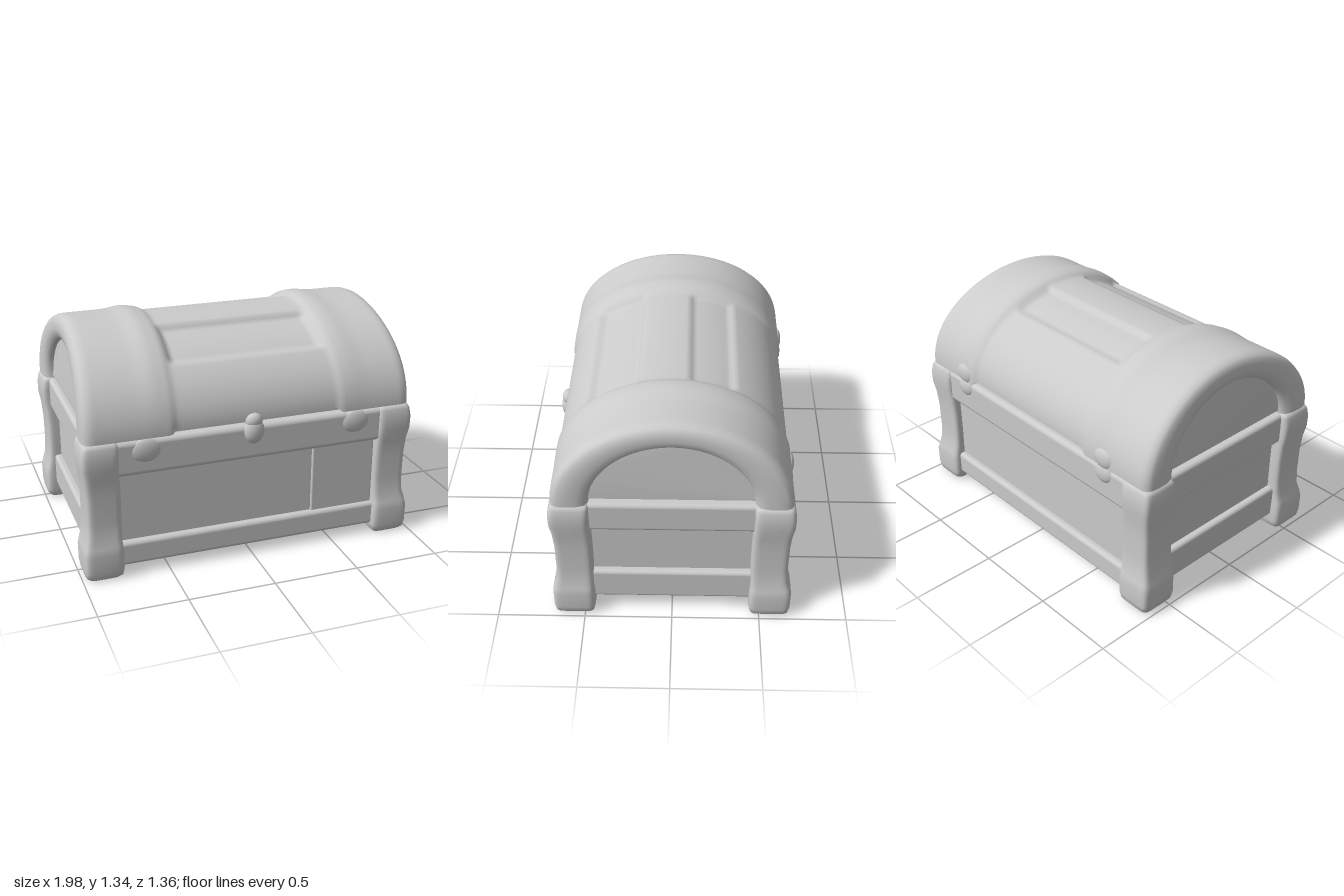
import * as THREE from 'three';
import { mergeVertices } from 'three/addons/utils/BufferGeometryUtils.js';
import { RoundedBoxGeometry } from 'three/addons/geometries/RoundedBoxGeometry.js';

const mat = new THREE.MeshStandardMaterial({ color: 0xcccccc, side: THREE.DoubleSide });
const SEAM = 0.818;

function add(group, name, geometry, x = 0, y = 0, z = 0) {
  const mesh = new THREE.Mesh(geometry, mat);
  mesh.name = name;
  mesh.position.set(x, y, z);
  group.add(mesh);
  return mesh;
}

// Smooth surface through rows of points; point(i, j) returns [x, y, z]
function loft(rows, cols, point) {
  const pos = [], idx = [];
  for (let i = 0; i < rows; i++) for (let j = 0; j <= cols; j++) pos.push(...point(i, j));
  for (let i = 0; i < rows - 1; i++) for (let j = 0; j < cols; j++) {
    const a = i * (cols + 1) + j, b = a + cols + 1;
    idx.push(a, b, a + 1, b, b + 1, a + 1);
  }
  let g = new THREE.BufferGeometry();
  g.setAttribute('position', new THREE.Float32BufferAttribute(pos, 3));
  g.setIndex(idx);
  g = mergeVertices(g, 1e-5);
  g.computeVertexNormals();
  return g;
}

const step = (v, a, b) => THREE.MathUtils.smoothstep(v, a, b);
const inside = (v, a, b, s = 0.02) => step(v, a - s, a + s) * (1 - step(v, b - s, b + s));
const bump = (v, c, w) => Math.exp(-(((v - c) / w) ** 2));

// The lid ends lean inwards towards the crown
const lean = (x, y) => x * (1 - 0.05 * ((y - SEAM) / 0.5) ** 2);

// Corner post: rounded square section with a flared foot and a swollen head
function postGeometry(sx, sz) {
  // height, outward shift, extra half width, section scale
  const rings = [
    [0.004, 0.005, 0.01, 0.001], [0.002, 0.005, 0.01, 0.8], [0.02, 0.005, 0.012, 0.95],
    [0.06, 0.005, 0.014, 1], [0.16, 0.006, 0.014, 1], [0.2, 0.004, 0.008, 1],
    [0.26, -0.004, 0, 1], [0.35, -0.007, -0.001, 1], [0.5, -0.006, -0.001, 1],
    [0.6, -0.001, 0.001, 1], [0.67, 0.006, 0.006, 1], [0.74, 0.007, 0.006, 1],
    [0.79, 0.002, 0.003, 1], [0.808, 0, 0, 0.95], [0.813, 0, 0, 0.82], [0.813, 0, 0, 0.001],
  ];
  const n = 40;
  const sq = (v) => Math.sign(v) * Math.abs(v) ** 0.3;
  return loft(rings.length, n, (i, j) => {
    const [y, shift, grow, k] = rings[i];
    const t = ((j % n) / n) * Math.PI * 2;
    return [
      sx * (0.868 + shift) + (0.1 + grow) * k * sq(Math.cos(t)), y,
      sz * (0.553 + shift) + (0.106 + grow) * k * sq(Math.sin(t)),
    ];
  });
}

// Lid: arches that roll over at the ends, with sunk boards between the two bands
function lidGeometry() {
  // x, half depth, rise: from the inner edge of the end arch to the outer face
  const end = [
    [0.895, 0.445, 0.36], [0.925, 0.45, 0.367], [0.95, 0.468, 0.385], [0.964, 0.51, 0.42],
    [0.967, 0.57, 0.455], [0.963, 0.615, 0.48], [0.95, 0.64, 0.496], [0.925, 0.653, 0.505],
  ];
  const mid = [];
  for (let i = 0; i <= 100; i++) mid.push([-0.9 + 0.018 * i, 0.655, 0.507]);
  const rows = [...end.map(([x, a, b]) => [-x, a, b]), ...mid, ...end.slice().reverse()];
  const cols = 120;
  return loft(rows.length, cols, (i, j) => {
    const [x, a, b] = rows[i];
    const t = (j / cols) * Math.PI, c = Math.cos(t), s = Math.sin(t);
    const middle = inside(x, -0.46, 0.52);
    const zFlat = a * c;
    const boards = inside(x, -0.43, 0.49) *
      (0.03 * inside(zFlat, 0.2, 0.47) + 0.02 * inside(zFlat, -0.34, -0.1));
    const straps = (bump(x, -0.56, 0.07) + bump(x, 0.6, 0.08)) * 0.014 * s;
    const off = straps - 0.014 * middle - boards;
    const y = SEAM + 0.024 * middle * (1 - s) ** 2 + (b + off) * s;
    return [lean(x, y), y, (a + off) * c];
  });
}

// Half ellipse board closing each end of the lid
function lidEndGeometry(side) {
  const shape = new THREE.Shape();
  shape.absellipse(0, 0, 0.47, 0.385, 0, Math.PI, false);
  shape.closePath();
  const g = new THREE.ExtrudeGeometry(shape, { depth: 0.04, bevelEnabled: false, curveSegments: 40 });
  g.rotateY(Math.PI / 2);
  g.translate(side > 0 ? 0.87 : -0.91, SEAM + 0.016, 0);
  const p = g.attributes.position;
  for (let i = 0; i < p.count; i++) p.setX(i, lean(p.getX(i), p.getY(i)));
  g.computeVertexNormals();
  return g;
}

export function createModel() {
  const chest = new THREE.Group();
  chest.name = 'chest';
  const body = new THREE.Group();
  body.name = 'body';
  const lid = new THREE.Group();
  lid.name = 'lid';
  chest.add(body, lid);

  // Recessed wall panels and flat floor
  add(body, 'wallPanels', new THREE.BoxGeometry(1.78, 0.715, 1.21), 0, 0.4375, 0);

  for (const sx of [-1, 1]) for (const sz of [-1, 1])
    add(body, 'cornerPost', postGeometry(sx, sz));

  // Rails framing the panels
  for (const s of [-1, 1]) {
    add(body, 'lowerLongRail', new RoundedBoxGeometry(1.66, 0.145, 0.12, 4, 0.025), 0, 0.13, s * 0.583);
    add(body, 'upperLongRail', new RoundedBoxGeometry(1.66, 0.205, 0.14, 4, 0.03), 0, 0.708, s * 0.582);
    add(body, 'lowerSideRail', new RoundedBoxGeometry(0.12, 0.2, 1.0, 4, 0.022), s * 0.87, 0.197, 0);
    add(body, 'upperSideRail', new RoundedBoxGeometry(0.12, 0.19, 1.0, 4, 0.025), s * 0.877, 0.716, 0);
  }

  // Raised board at one end of the front panel
  add(body, 'frontBoard', new RoundedBoxGeometry(0.39, 0.44, 0.04, 3, 0.01), 0.57, 0.4, 0.598);

  // Lid shell, end boards and the dark core behind the seam
  add(lid, 'lidShell', lidGeometry());
  for (const s of [-1, 1]) add(lid, 'lidEnd', lidEndGeometry(s));
  add(lid, 'lidCore', new THREE.BoxGeometry(1.76, 0.08, 1.19), 0, 0.82, 0);

  // Clasp over the front seam
  const clasp = new THREE.SphereGeometry(1, 24, 16);
  add(body, 'claspPlate', clasp, 0, 0.775, 0.645).scale.set(0.06, 0.075, 0.04);
  add(lid, 'claspTab', clasp, 0, 0.835, 0.643).scale.set(0.05, 0.045, 0.035);

  // Strap ends and hinges at the seam
  for (const s of [-1, 1]) {
    add(body, 'frontStrapEnd', clasp, s * 0.62, 0.745, 0.64).scale.set(0.09, 0.07, 0.026);
    add(body, 'hinge', clasp, s * 0.62, 0.77, -0.64).scale.set(0.07, 0.06, 0.028);
    add(lid, 'hingeStrap', clasp, s * 0.62, 0.86, -0.642).scale.set(0.07, 0.06, 0.026);
  }
  return chest;
}
